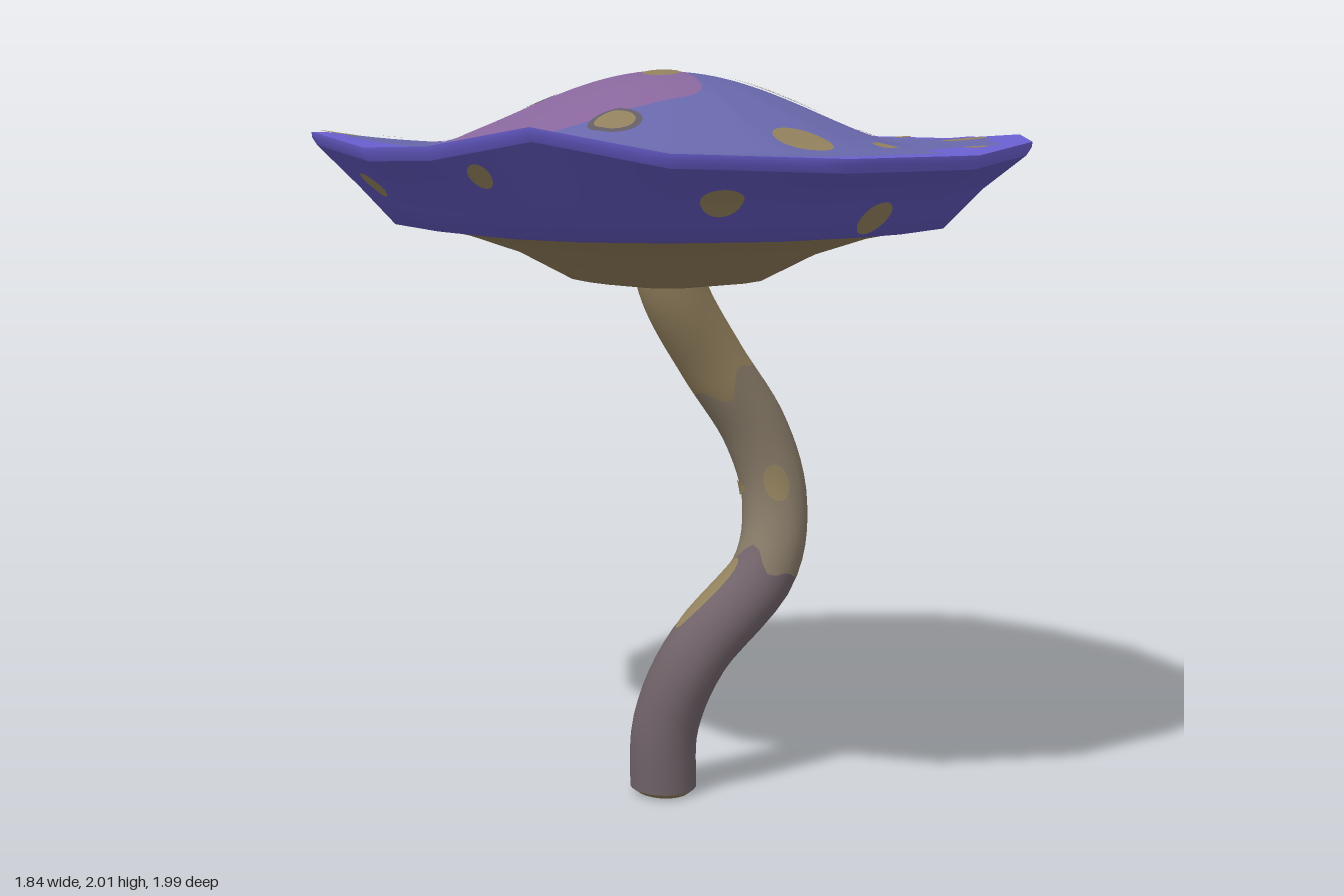
import * as THREE from 'three';

const mat = (name, color) => Object.assign(new THREE.MeshStandardMaterial({ color }), { name });
const V = (x, y, z) => new THREE.Vector3(x, y, z);
const { lerp, clamp } = THREE.MathUtils;

// Rim corners: x, z, height, and how far the dusty colour reaches outwards
const RIM = [
  [0.92, 0.15, 1.81, 0.98], [0.81, 0.53, 1.83, 0.91], [0.56, 0.83, 1.82, 0.91], [0.23, 0.98, 1.795, 0.85],
  [-0.20, 0.99, 1.795, 0.87], [-0.59, 0.81, 1.81, 0.77], [-0.82, 0.57, 1.87, 0.75], [-0.92, 0.27, 1.82, 0.75],
  [-0.91, -0.05, 1.81, 0.75], [-0.82, -0.49, 1.84, 0.87], [-0.59, -0.80, 1.83, 0.96], [-0.23, -0.98, 1.795, 0.92],
  [0.14, -1.00, 1.79, 0.90], [0.49, -0.86, 1.80, 0.89], [0.79, -0.57, 1.83, 0.76], [0.90, -0.23, 1.81, 0.97],
];
const N = RIM.length;

// Rim values at u (0..1 once around)
function rim(u) {
  const k = (((u % 1) + 1) % 1) * N, i = Math.floor(k) % N;
  return RIM[i].map((a, c) => lerp(a, RIM[(i + 1) % N][c], k - Math.floor(k)));
}

// Around-the-rim position u and outward fraction t of a point seen from above
function locate(x, z) {
  const cross = (a, b, c, d) => a * d - b * c;
  for (let i = 0; i < N; i++) {
    const [px, pz] = RIM[i], [qx, qz] = RIM[(i + 1) % N], d = cross(px, pz, qx, qz);
    const a = cross(x, z, qx, qz) / d, b = cross(px, pz, x, z) / d;
    if (a >= -1e-9 && b >= -1e-9) return [(i + b / (a + b || 1)) / N, a + b];
  }
  return [0, 0];
}

// Height of the upper surface: domed middle and wavy brim
const topY = (t, h) => 1.795 + 0.205 * Math.pow(Math.max(0, 0.5 + 0.5 * Math.cos(Math.PI * Math.min(t / 0.68, 1))), 0.68)
  + (h - 1.795) * Math.pow(t, 4);

// Profiles below the rim: rows of [outward fraction, height]; heights under 1 are relative to the rim
const LIP = [[1, 0], [0.998, -0.015], [0.985, -0.035]];
const SKIRT = [[0.985, -0.035], [0.87, 1.695], [0.77, 1.592], [0.66, 1.58]];
const GILLS = [[0.66, 1.58], [0.56, 1.56], [0.42, 1.515], [0.27, 1.44], [0.1, 1.42], [0, 1.425]];
const rowY = (row, h) => row[1] < 1 ? h + row[1] : row[1];

// Surface closed around u; fn(u, v) gives each point
function grid(fn, nu, nv) {
  const pos = [], idx = [];
  for (let j = 0; j <= nv; j++) for (let i = 0; i < nu; i++) pos.push(...fn(i / nu, j / nv).toArray());
  for (let j = 0; j < nv; j++) for (let i = 0; i < nu; i++) {
    const a = j * nu + i, b = j * nu + (i + 1) % nu;
    idx.push(a, b, a + nu, b, b + nu, a + nu);
  }
  const g = new THREE.BufferGeometry();
  g.setAttribute('position', new THREE.Float32BufferAttribute(pos, 3));
  g.setIndex(idx);
  g.computeVertexNormals();
  return g;
}

export function createModel() {
  const M = {
    brim: mat('brim violet', 0x6a5fd0), dome: mat('dusty blue', 0x6867aa), skirt: mat('skirt violet', 0x5d55b6),
    pink: mat('mauve', 0x88669c), spot: mat('ochre', 0x91805c), ring: mat('spot ring', 0x625c66),
    gills: mat('gill brown', 0x8b7956), tan: mat('stem tan', 0x95825f), mid: mat('stem taupe', 0x857866),
    base: mat('stem base', 0x6f6268),
  };
  const model = new THREE.Group(), cap = new THREE.Group(), stem = new THREE.Group();
  model.name = 'mushroom'; cap.name = 'cap'; stem.name = 'stem';
  model.add(cap, stem);
  const add = (group, name, geometry, material) => {
    const m = new THREE.Mesh(geometry, material);
    m.name = name;
    group.add(m);
  };

  // Upper surface: dusty centre and violet brim
  const top = (u, t) => { const [x, z, h] = rim(u); return V(x * t, topY(t, h), z * t); };
  const reach = u => Math.min(0.985, rim(u)[3] + 0.012 * Math.sin(u * Math.PI * 38));
  add(cap, 'dome', grid((u, v) => top(u, v * reach(u)), 96, 34), M.dome);
  add(cap, 'brim', grid((u, v) => top(u, lerp(reach(u), 1, v)), 96, 6), M.brim);

  // Bands below the rim
  const band = rows => (u, v) => {
    const k = v * (rows.length - 1), i = Math.min(Math.floor(k), rows.length - 2);
    const [x, z, h] = rim(u), t = lerp(rows[i][0], rows[i + 1][0], k - i);
    return V(x * t, lerp(rowY(rows[i], h), rowY(rows[i + 1], h), k - i), z * t);
  };
  add(cap, 'lip', grid(band(LIP), 96, 2), M.brim);
  add(cap, 'skirt', grid(band(SKIRT), 96, 6), M.skirt);
  add(cap, 'gills', grid(band(GILLS), 96, 10), M.gills);

  // Thin patch draped over the upper surface
  const drape = (name, cx, cz, outline, lift, material, rows) => add(cap, name, grid((u, v) => {
    const p = outline(u), x = lerp(cx, p.x, v), z = lerp(cz, p.z, v), [k, t] = locate(x, z);
    return V(x, topY(t, rim(k)[2]) + lift, z);
  }, 48, rows), material);
  const disc = (name, x, z, r, lift, material) => drape(name, x, z, u => {
    const a = u * Math.PI * 2;
    return V(x + r * Math.cos(a), 0, z + r * Math.sin(a));
  }, lift, material, 4);

  // Mauve blotches
  const blotches = [
    [-0.27, -0.03, [[-0.53, -0.26], [-0.38, -0.27], [-0.2, -0.3], [-0.04, -0.27], [0, -0.2], [0.02, -0.05], [-0.04, 0.2], [-0.1, 0.27], [-0.25, 0.26], [-0.42, 0.2], [-0.52, 0.12], [-0.57, -0.1]]],
    [-0.06, -0.46, [[-0.45, -0.5], [-0.3, -0.54], [-0.05, -0.55], [0.08, -0.56], [0.24, -0.6], [0.26, -0.56], [0.12, -0.46], [0, -0.4], [-0.04, -0.29], [-0.2, -0.36], [-0.42, -0.31]]],
    [0.52, 0.17, [[0.57, -0.06], [0.59, 0.02], [0.59, 0.15], [0.48, 0.38], [0.42, 0.36], [0.46, 0.22], [0.5, 0.05]]],
  ];
  for (const [x, z, pts] of blotches) {
    const c = new THREE.CatmullRomCurve3(pts.map(p => V(p[0], 0, p[1])), true);
    drape('blotch', x, z, u => c.getPoint(u), 0.003, M.pink, 10);
  }
  // Violet flecks in the dusty ring
  disc('brimFleck', 0.78, 0.3, 0.06, 0.004, M.brim);
  disc('brimFleck', 0.31, 0.83, 0.085, 0.004, M.brim);

  // Ringed spots on the dome
  for (const [x, z, r] of [[-0.08, -0.5, 0.12], [-0.25, -0.24, 0.092], [0.34, -0.22, 0.08], [0.27, 0.11, 0.147], [-0.37, 0.28, 0.07]]) {
    disc('spotRing', x, z, r, 0.005, M.ring);
    disc('spotCore', x, z, r * 0.76, 0.007, M.spot);
  }
  // Plain spots
  for (const [x, z, r] of [[-0.71, -0.53, 0.055], [-0.4, -0.78, 0.035], [0.09, -0.8, 0.035], [0.23, -0.82, 0.055],
    [0.61, -0.5, 0.025], [0.75, -0.42, 0.045], [0.78, -0.12, 0.045], [0.84, 0.02, 0.027], [0.58, 0.18, 0.03],
    [-0.54, -0.03, 0.045], [-0.07, 0.07, 0.05], [-0.77, 0.17, 0.05], [-0.61, 0.55, 0.07], [0, 0.58, 0.078],
    [0.27, 0.59, 0.035], [0.64, 0.49, 0.06], [0.36, 0.83, 0.03]]) disc('spot', x, z, r, 0.007, M.spot);

  // Patches under the brim: direction in x and z, outward fraction, radial and sideways half sizes
  const skirtY = (t, h) => {
    const i = t > 0.87 ? 0 : t > 0.77 ? 1 : 2, a = SKIRT[i], b = SKIRT[i + 1];
    return lerp(rowY(a, h), rowY(b, h), (a[0] - t) / (a[0] - b[0]));
  };
  const patch = (name, [dx, dz, t, rt, ra], material) => {
    const k = locate(dx, dz)[0];
    add(cap, name, grid((u, v) => {
      const a = -u * Math.PI * 2, q = clamp(t + rt * v * Math.cos(a), 0.662, 0.984);
      const [x, z, h] = rim(k + ra * v * Math.sin(a) / 5.6);
      return V(x * (q + 0.004), skirtY(q, h) - 0.004, z * (q + 0.004));
    }, 24, 5), material);
  };
  for (const p of [[-0.42, 0.8, 0.875, 0.042, 0.05], [0.04, 0.85, 0.82, 0.04, 0.046], [0.62, 0.68, 0.94, 0.034, 0.04],
    [0.8, -0.12, 0.805, 0.03, 0.04], [0.86, 0.05, 0.92, 0.042, 0.05], [0.4, -0.83, 0.92, 0.042, 0.05],
    [0.07, -0.9, 0.83, 0.034, 0.042], [-0.45, -0.8, 0.87, 0.035, 0.045], [-0.8, 0.35, 0.93, 0.032, 0.04],
    [-0.8, -0.25, 0.89, 0.035, 0.045]]) patch('skirtSpot', p, M.spot);
  patch('skirtBlotch', [0.68, -0.6, 0.71, 0.045, 0.38], M.pink);

  // Winding stem
  const path = new THREE.CatmullRomCurve3([[-0.02, 0.01], [-0.02, 0.025], [0.05, 0.075], [0.27, 0.09], [0.34, 0.055],
    [0.295, 0.02], [0.165, -0.01], [0.03, -0.005], [-0.03, 0]].map(([x, z], i) => V(x, i * 0.2, z)), false, 'catmullrom', 0.5);
  const tube = (y, a, r) => {
    const s = y / 1.6, T = path.getTangent(s), side = V(T.y, -T.x, 0).normalize(), front = side.clone().cross(T);
    return path.getPoint(s).addScaledVector(side, r * Math.cos(a)).addScaledVector(front, r * Math.sin(a));
  };
  const R = 0.093;
  const wobble = (y, amp) => a => y + amp * (Math.sin(3 * a + y * 9) + 0.6 * Math.sin(5 * a));
  const cuts = [() => 0.015, wobble(0.61, 0.022), wobble(1.15, 0.02), () => 1.52];
  [['stemBase', M.base], ['stemMiddle', M.mid], ['stemTop', M.tan]].forEach(([name, m], i) =>
    add(stem, name, grid((u, v) => {
      const a = -u * Math.PI * 2;
      return tube(lerp(cuts[i](a), cuts[i + 1](a), v), a, R);
    }, 24, 16), m));
  // Foot with a softened edge
  add(stem, 'stemFoot', grid((u, v) => tube(0.015 * Math.max(0, v * 5 - 4), -u * Math.PI * 2, R * v), 24, 5), M.gills);

  // Flecks on the stem: height, angle, half height, half width
  for (const [y, a, hy, w, m] of [[0.85, 2.1, 0.06, 0.035, M.spot], [0.45, 0.1, 0.085, 0.055, M.mid],
    [0.15, -0.2, 0.05, 0.018, M.mid], [0.85, -2.36, 0.03, 0.07, M.spot], [0.5, -3.0, 0.09, 0.03, M.spot]])
    add(stem, 'stemFleck', grid((u, v) => {
      const b = u * Math.PI * 2;
      return tube(y + hy * v * Math.sin(b), a + w * v * Math.cos(b) / R, R + 0.004);
    }, 20, 4), m);

  return model;
}
